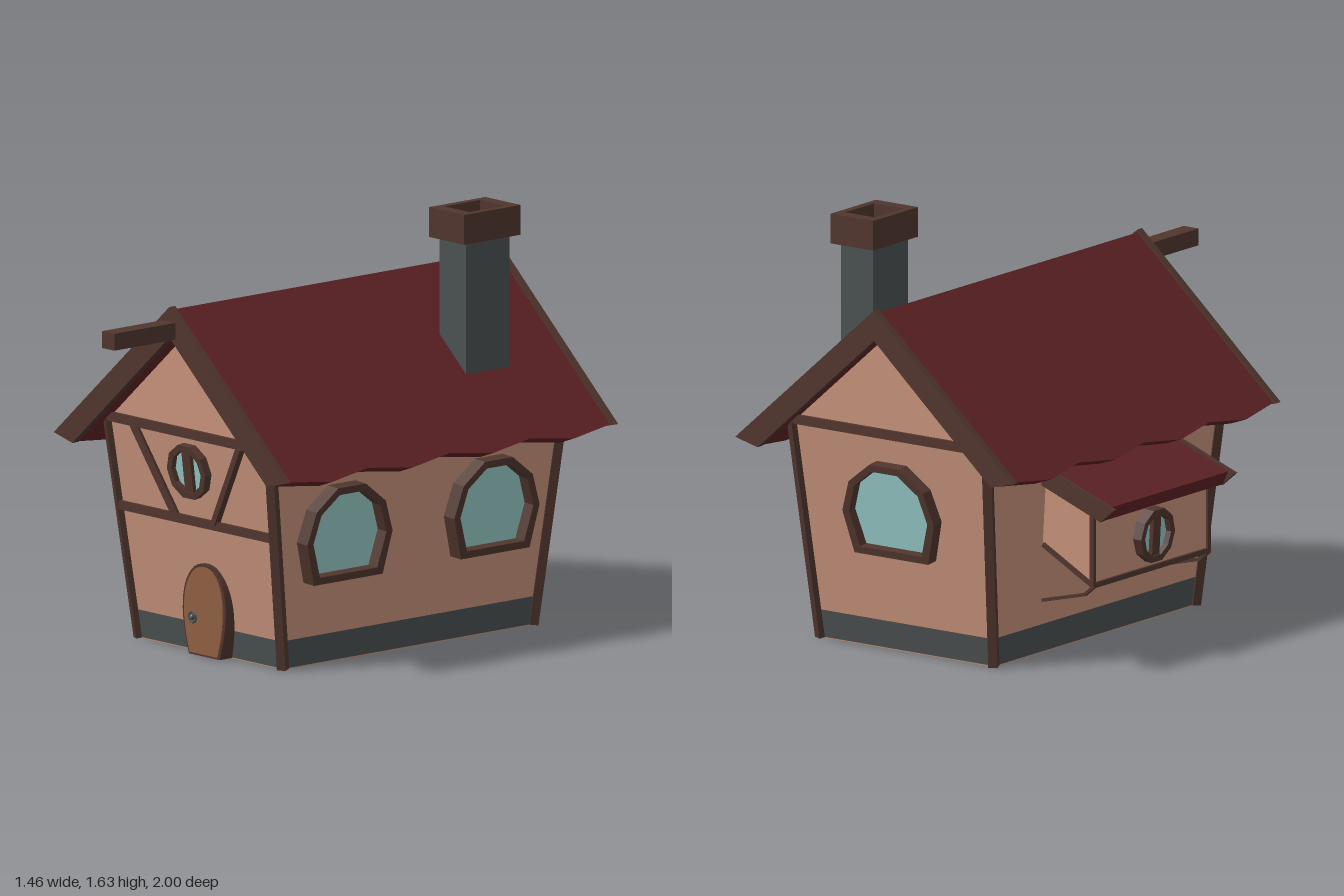
import * as THREE from 'three';

const CX = 0.07, CZ = -0.155;           // centre of the house plan
const SX = 0.059, SZ = 0.13;            // outward lean of the walls
const halfX = (y) => 0.41 + SX * y;
const halfZ = (y) => 0.635 + SZ * y;

export function createModel() {
  const model = new THREE.Group();
  model.name = 'cottage';
  const mat = (name, color) => {
    const m = new THREE.MeshStandardMaterial({ color, flatShading: true });
    m.name = name;
    return m;
  };
  const plaster = mat('plaster', 0xc4917a);
  const wood = mat('darkWood', 0x50352d);
  const roofRed = mat('roofRed', 0x5e2225);
  const stone = mat('stone', 0x4a5050);
  const glass = mat('glass', 0x94c7c4);
  const doorWood = mat('doorWood', 0x8e5d41);

  const add = (name, geo, material, parent = model) => {
    const m = new THREE.Mesh(geo, material);
    m.name = name;
    parent.add(m);
    return m;
  };
  const v2 = (pts) => pts.map(([x, y]) => new THREE.Vector2(x, y));
  // straight prism along z, with an optional hole
  const prism = (pts, z0, z1, hole, steps = 1) => {
    const s = new THREE.Shape(v2(pts));
    if (hole) s.holes.push(new THREE.Path(v2(hole)));
    return new THREE.ExtrudeGeometry(s, { depth: z1 - z0, steps, bevelEnabled: false }).translate(0, 0, z0);
  };
  const box = (name, x0, x1, y0, y1, z0, z1, material) =>
    add(name, new THREE.BoxGeometry(x1 - x0, y1 - y0, z1 - z0)
      .translate((x0 + x1) / 2, (y0 + y1) / 2, (z0 + z1) / 2), material);
  // timber between two points
  const bar = (name, p, q, w, h = w) => {
    const a = new THREE.Vector3(...p), b = new THREE.Vector3(...q);
    const m = add(name, new THREE.BoxGeometry(w, h, a.distanceTo(b)), wood);
    m.position.copy(a).add(b).multiplyScalar(0.5);
    m.lookAt(b);
    return m;
  };
  // mirror a right-hand outline to a closed one
  const mirror = (pts) => [...pts, ...pts.filter((p) => p[0] > 0).reverse().map(([x, y]) => [-x, y])];

  // leaning wall sections
  const section = (name, y0, y1, material) => {
    const g = new THREE.BoxGeometry(2, y1 - y0, 2).translate(0, (y0 + y1) / 2, 0);
    const p = g.attributes.position;
    for (let i = 0; i < p.count; i++) {
      const y = p.getY(i);
      p.setXYZ(i, CX + p.getX(i) * halfX(y), y, CZ + p.getZ(i) * halfZ(y));
    }
    g.computeVertexNormals();
    add(name, g, material);
  };
  section('floor', 0, 0.004, plaster);
  section('stoneBase', 0.004, 0.112, stone);
  section('walls', 0.112, 0.86, plaster);
  add('gables', prism([[-0.455, 0.852], [0.455, 0.852], [0, 1.257]], -halfZ(0.86), halfZ(0.86))
    .translate(CX, 0, CZ), plaster);

  // corner posts and gable beams
  for (const sz of [1, -1]) {
    for (const sx of [1, -1]) {
      const at = (y) => [CX + sx * (halfX(y) - 0.003), y, CZ + sz * (halfZ(y) - 0.003)];
      bar('cornerPost', at(0.002), at(0.86), 0.036);
    }
    const z = CZ + sz * (halfZ(0.86) - 0.003);
    bar('gableBeam', [CX - 0.47, 0.866, z], [CX + 0.47, 0.866, z], 0.036);
  }
  const frontZ = (y) => CZ + halfZ(y);
  bar('middleBeam', [CX - 0.44, 0.52, frontZ(0.52)], [CX + 0.44, 0.52, frontZ(0.52)], 0.034);
  for (const s of [1, -1])
    bar('brace', [CX + s * 0.303, 0.855, frontZ(0.855)], [CX + s * 0.112, 0.53, frontZ(0.53)], 0.038, 0.03);

  // main roof with a zigzag eave
  const L = 1.64, N = 8;
  const roofGeo = prism([[0, 1.354], [-0.64, 0.784], [-0.565, 0.757], [0, 1.257], [0.565, 0.757], [0.64, 0.784]],
    0, L, null, N);
  const rp = roofGeo.attributes.position;
  for (let i = 0; i < rp.count; i++) {
    const k = Math.round((rp.getZ(i) / L) * N);
    if (k % 2 && Math.abs(rp.getX(i)) > 0.5) {
      rp.setX(i, rp.getX(i) + Math.sign(rp.getX(i)) * 0.025);
      rp.setY(i, rp.getY(i) - 0.023);
    }
  }
  roofGeo.computeVertexNormals();
  add('roof', roofGeo.translate(CX, 0, CZ - L / 2), roofRed);
  const barge = [[0, 1.366], [-0.655, 0.783], [-0.55, 0.757], [0, 1.248], [0.55, 0.757], [0.655, 0.783]];
  for (const z of [0.66, -1.0]) add('bargeboard', prism(barge, z, z + 0.03).translate(CX, 0, 0), wood);
  box('ridgeBeam', 0.035, 0.105, 1.245, 1.31, 0.45, 1.0, wood);

  // chimney with a hollow cap
  box('chimneyShaft', 0.31, 0.46, 0.96, 1.53, -0.686, -0.466, stone);
  box('chimneyFlueFloor', 0.312, 0.458, 1.53, 1.535, -0.684, -0.468, wood);
  const rect = (x, z) => [[-x, -z], [x, -z], [x, z], [-x, z]];
  add('chimneyCap', prism(rect(0.1, 0.143), 0, 0.115, rect(0.07, 0.09))
    .rotateX(-Math.PI / 2).translate(0.385, 1.515, -0.577), wood);

  // windows: local +z points out of the wall
  const makeWindow = (name, outer, inner, depth, pos, turn, tilt, mullion) => {
    const g = new THREE.Group();
    g.name = name;
    add('windowFrame', prism(outer, -0.02, depth, inner), wood, g);
    add('windowGlass', prism(inner, 0.004, 0.01), glass, g);
    if (mullion) add('mullion', new THREE.BoxGeometry(0.046, 0.165, depth * 0.8)
      .translate(0, 0, depth * 0.4), wood, g);
    g.position.set(...pos);
    g.rotation.set(tilt, turn, 0, 'YXZ');
    model.add(g);
  };
  const archOut = mirror([[0.174, -0.183], [0.216, -0.02], [0.175, 0.102], [0.07, 0.183]]);
  const archIn = mirror([[0.145, -0.155], [0.185, -0.02], [0.15, 0.088], [0.06, 0.156]]);
  const tiltX = Math.atan(SX), tiltZ = Math.atan(SZ);
  for (const z of [0.22, -0.525])
    makeWindow('sideWindow', archOut, archIn, 0.06, [CX + halfX(0.51), 0.51, z], Math.PI / 2, tiltX);
  makeWindow('backWindow', archOut, archIn, 0.05, [CX, 0.57, CZ - halfZ(0.57)], Math.PI, tiltZ);
  const ring = (r) => Array.from({ length: 10 }, (_, i) =>
    [r * Math.cos((i * Math.PI) / 5), r * Math.sin((i * Math.PI) / 5)]);
  makeWindow('roundWindow', ring(0.109), ring(0.083), 0.032, [CX, 0.72, frontZ(0.72)], 0, tiltZ, true);
  makeWindow('bayWindow', ring(0.107), ring(0.082), 0.034, [-0.605, 0.435, CZ], -Math.PI / 2, 0.06, true);

  // rounded door
  const half = [[0.087, 0], [0.114, 0.1], [0.122, 0.2], [0.102, 0.285], [0.055, 0.342], [0, 0.357]];
  const doorCurve = new THREE.SplineCurve(v2(mirror(half)));
  const doorPts = doorCurve.getPoints(30).map((p) => [p.x, p.y]);
  add('doorFrame', prism(doorPts, 0.44, 0.544).translate(0.105, 0.002, 0), wood);
  add('doorPanel', prism(doorPts.map(([x, y]) => [x * 0.9, 0.008 + y * 0.945]), 0.542, 0.549)
    .translate(0.105, 0.002, 0), doorWood);
  add('doorKnobRing', new THREE.TorusGeometry(0.02, 0.005, 6, 12).translate(0.045, 0.147, 0.55), stone);
  add('doorKnob', new THREE.SphereGeometry(0.012, 8, 6).translate(0.045, 0.147, 0.553), stone);

  // bay on the side, with its own lean-to roof
  const bz = 0.362;
  add('bayWalls', prism([[-0.6, 0.59], [-0.6, 0.305], [-0.36, 0.435], [-0.36, 0.68]], CZ - bz, CZ + bz), plaster);
  add('bayRoof', prism([[-0.69, 0.618], [-0.665, 0.565], [-0.36, 0.682], [-0.36, 0.738]],
    CZ - 0.375, CZ + 0.375), roofRed);
  const bayBarge = [[-0.722, 0.615], [-0.657, 0.56], [-0.36, 0.672], [-0.36, 0.75]];
  for (const s of [1, -1]) {
    const z = CZ + s * 0.381;
    add('bayBargeboard', prism(bayBarge, z - 0.008, z + 0.008), wood);
    const ze = CZ + s * bz;
    bar('bayPost', [-0.602, 0.3, ze], [-0.602, 0.59, ze], 0.018);
    bar('bayLowerTrim', [-0.605, 0.302, ze], [-0.37, 0.43, ze], 0.018);
    // bent bracket under the bay
    const path = [[-0.61, 0.3], [-0.565, 0.262], [-0.365, 0.212]];
    for (let i = 0; i < 2; i++) bar('bayBracket', [...path[i], ze], [...path[i + 1], ze], 0.016, 0.012);
  }
  bar('baySill', [-0.602, 0.303, CZ - bz], [-0.602, 0.303, CZ + bz], 0.02);

  return model;
}
